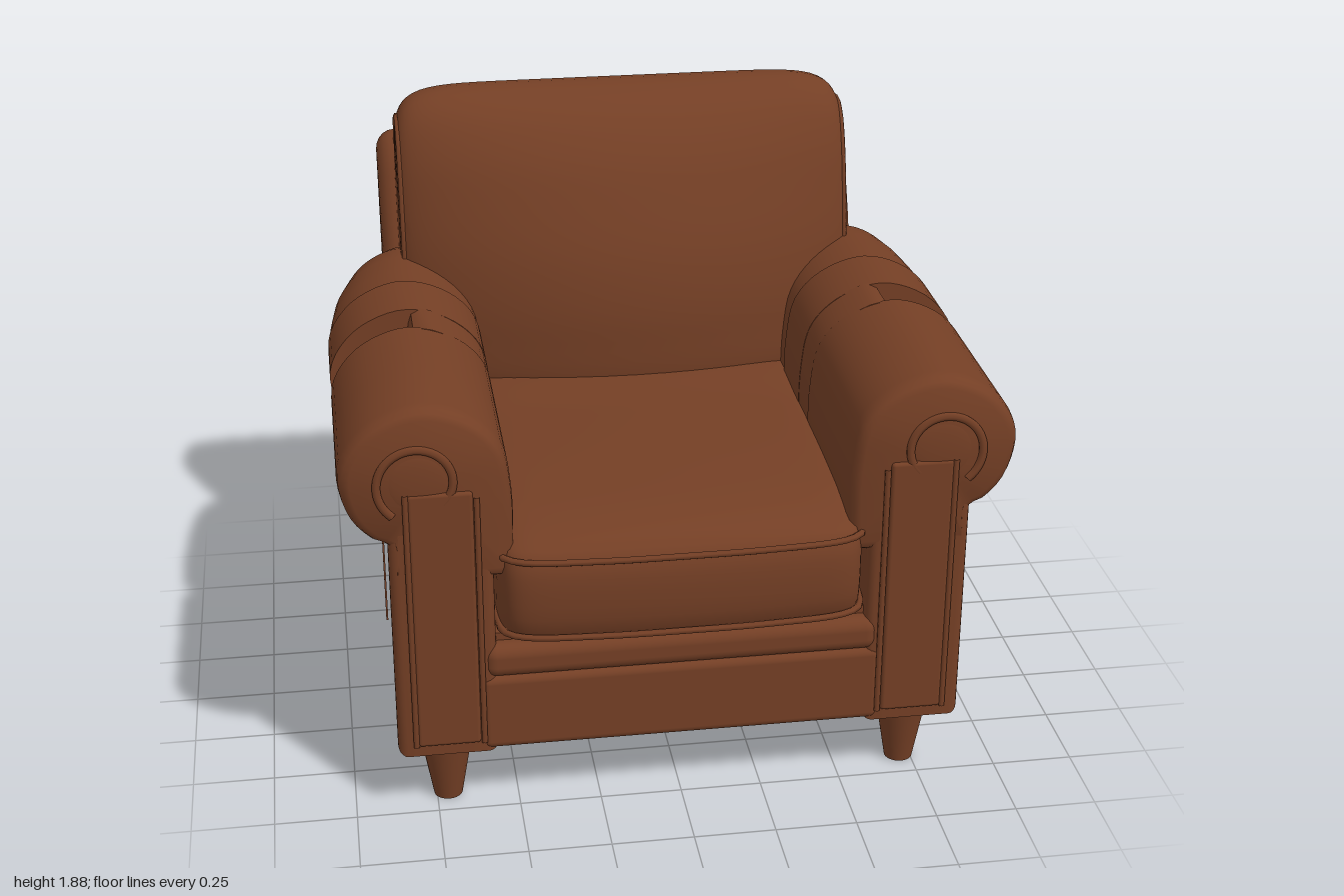
import * as THREE from 'three';
import { toCreasedNormals } from 'three/addons/utils/BufferGeometryUtils.js';
import { RoundedBoxGeometry } from 'three/addons/geometries/RoundedBoxGeometry.js';

const leather = new THREE.MeshStandardMaterial({ color: 0x743f25 });
leather.name = 'brown leather';

function add(parent, name, geometry, x = 0, y = 0, z = 0) {
  const mesh = new THREE.Mesh(geometry, leather);
  mesh.name = name;
  mesh.position.set(x, y, z);
  parent.add(mesh);
  return mesh;
}

// Skin a row of closed rings and close both ends with fans.
function loft(rings, crease = 0.7) {
  const n = rings[0].length, pos = [], index = [];
  rings.forEach(r => r.forEach(p => pos.push(p.x, p.y, p.z)));
  for (let i = 0; i < rings.length - 1; i++) {
    for (let j = 0; j < n; j++) {
      const a = i * n + j, c = i * n + (j + 1) % n;
      index.push(a, a + n, c, c, a + n, c + n);
    }
  }
  [0, rings.length - 1].forEach((i, end) => {
    const m = new THREE.Vector3();
    rings[i].forEach(p => m.addScaledVector(p, 1 / n));
    const k = pos.length / 3;
    pos.push(m.x, m.y, m.z);
    for (let j = 0; j < n; j++) {
      const a = i * n + j, b = i * n + (j + 1) % n;
      if (end) index.push(k, b, a); else index.push(k, a, b);
    }
  });
  const g = new THREE.BufferGeometry();
  g.setAttribute('position', new THREE.Float32BufferAttribute(pos, 3));
  g.setIndex(index);
  return toCreasedNormals(g, crease);
}

function smooth(points, closed, count) {
  const c = new THREE.CatmullRomCurve3(points.map(p => new THREE.Vector3(p[0], p[1], p[2] || 0)), closed, 'centripetal');
  const out = c.getSpacedPoints(count);
  if (closed) out.pop();
  return out;
}

function piping(points, closed = false, r = 0.01) {
  const v = points.map(p => (p.isVector3 ? p : new THREE.Vector3(...p)));
  return new THREE.TubeGeometry(new THREE.CatmullRomCurve3(v, closed, 'centripetal'), 60, r, 6, closed);
}

// Cushion ring at u (-1..1 across the width) from a side profile of (z, y) points.
function cushionRing(profile, u, o) {
  const h = Math.pow(Math.max(0, 1 - Math.pow(Math.abs(u), o.power)), 1 / o.power);
  return profile.map(p => {
    const [z, y] = o.bulge(u, p.x, p.y);
    return new THREE.Vector3(u * o.half, o.cy + (y - o.cy) * h, o.cz + (z - o.cz) * h);
  });
}

function cushion(profile, o) {
  const rings = [];
  for (let i = -22; i <= 22; i++) {
    const k = Math.abs(i) / 22;
    rings.push(cushionRing(profile, Math.sign(i) * (1 - Math.pow(1 - k, 3)), o));
  }
  return loft(rings, 0.9);
}

// Extrude a (z, y) outline along x with rounded edges.
function sideExtrude(points, x0, x1, bevel) {
  const shape = new THREE.Shape(points.map(p => new THREE.Vector2(p[0], p[1])));
  const g = new THREE.ExtrudeGeometry(shape, {
    depth: x1 - x0 - 2 * bevel, bevelEnabled: true, bevelSize: bevel,
    bevelThickness: bevel, bevelOffset: -bevel, bevelSegments: 5, steps: 4
  });
  g.translate(0, 0, bevel - x1);
  g.rotateY(-Math.PI / 2);
  return g;
}

function buildArm() {
  const arm = new THREE.Group();
  // Lower side panel, narrowing towards the back
  const panel = sideExtrude([[0.77, 0.215], [0.77, 0.97], [-0.69, 0.97], [-0.655, 0.235], [-0.63, 0.215]], 0.56, 0.865, 0.03);
  const p = panel.attributes.position;
  for (let i = 0; i < p.count; i++) {
    const t = Math.max(0, (-0.35 - p.getZ(i)) / 0.3);
    p.setX(i, p.getX(i) - 0.05 * t * t * Math.max(0, p.getX(i) - 0.5) / 0.36);
  }
  add(arm, 'armSidePanel', toCreasedNormals(panel, 0.6));

  // Rolled arm top; each ring is [z, scale, outward stretch]
  const roll = smooth([[0.5, 0.8], [0.5, 1.08], [0.53, 1.23], [0.62, 1.32], [0.76, 1.36], [0.9, 1.31],
    [0.98, 1.22], [1, 1.14], [0.97, 1.02], [0.91, 0.95], [0.86, 0.925], [0.855, 0.8]], false, 48);
  const inner = smooth([[0.5, 0.8], [0.5, 1.08], [0.53, 1.23], [0.62, 1.32], [0.73, 1.355], [0.76, 1.25],
    [0.79, 1.1], [0.865, 0.95], [0.86, 0.8]], false, 40);
  const section = (outline, rows) => loft(rows.map(([z, s, k = 1]) => outline.map(q => {
    const x = 0.74 + (q.x - 0.74) * s;
    return new THREE.Vector3(x > 0.7 ? 0.7 + (x - 0.7) * k : x, 1.12 + (q.y - 1.12) * s, z);
  })));
  add(arm, 'armRollFront', section(roll, [[0.16, 1], [0.45, 1], [0.71, 1], [0.74, 0.985], [0.76, 0.945], [0.77, 0.87]]));
  add(arm, 'armRecess', section(inner, [[0.01, 0.995], [0.17, 0.995]]));
  add(arm, 'armRollMiddle', section(roll, [[-0.22, 1], [0.02, 1]]));
  add(arm, 'armRollBack', section(roll, [[-0.59, 0.72, 0.52], [-0.585, 0.86, 0.62], [-0.56, 0.94, 0.74],
    [-0.52, 0.98, 0.85], [-0.44, 0.985, 0.93], [-0.32, 0.985, 0.98], [-0.2, 0.985, 1]]));

  // Front pilaster with piped edges and a scroll
  add(arm, 'armFrontPilaster', new RoundedBoxGeometry(0.19, 0.85, 0.03, 3, 0.012), 0.71, 0.675, 0.765);
  for (const [x, top] of [[0.81, 1.1], [0.605, 1.08]]) {
    add(arm, 'pilasterPiping', piping([[x, 0.25, 0.772], [x, 0.6, 0.772], [x, top, 0.772]]));
  }
  const scroll = [];
  for (let i = 0; i <= 20; i++) {
    const a = -0.9 + i * 0.24, r = 0.125 - i * 0.0015;
    scroll.push([0.77 + r * Math.cos(a), 1.13 + r * Math.sin(a), 0.768]);
  }
  add(arm, 'armScroll', piping(scroll, false, 0.014));
  const boss = add(arm, 'scrollCentre', new THREE.SphereGeometry(0.1, 24, 12), 0.77, 1.13, 0.762);
  boss.scale.z = 0.15;
  // Seam down the outer side
  add(arm, 'sideSeam', new THREE.BoxGeometry(0.006, 0.64, 0.008), 0.864, 0.6, 0.05);
  return arm;
}

// Tapered leg whose foot may sit off-centre from its top
function leg(parent, name, x, zTop, zFoot) {
  const g = new THREE.CylinderGeometry(0.085, 0.044, 0.24, 24, 4);
  const p = g.attributes.position;
  for (let i = 0; i < p.count; i++) {
    const t = 0.5 - p.getY(i) / 0.24;
    p.setZ(i, p.getZ(i) + (zFoot - zTop) * t);
  }
  g.computeVertexNormals();
  add(parent, name, toCreasedNormals(g, 0.7), x, 0.12, zTop);
}

export function createModel() {
  const chair = new THREE.Group();
  chair.name = 'armchair';

  // Base and front rails
  add(chair, 'base', sideExtrude([[0.73, 0.22], [0.73, 0.6], [-0.66, 0.6], [-0.63, 0.22]], -0.7, 0.7, 0.02));
  add(chair, 'frontRailLower', new RoundedBoxGeometry(1.22, 0.25, 0.12, 4, 0.025), 0, 0.345, 0.715);
  add(chair, 'frontRailUpper', new RoundedBoxGeometry(1.2, 0.11, 0.12, 4, 0.04), 0, 0.52, 0.72);

  // Leaning back frame
  add(chair, 'backFrame', toCreasedNormals(sideExtrude([[-0.4, 0.215], [-0.63, 0.215], [-0.66, 0.24], [-0.853, 1.59],
    [-0.85, 1.64], [-0.82, 1.67], [-0.77, 1.67], [-0.73, 1.64], [-0.69, 1.56], [-0.6, 1.36], [-0.52, 1.1], [-0.4, 0.8]], -0.8, 0.8, 0.06), 0.7));

  // Seat cushion
  const seat = smooth([[0.81, 0.6], [0.835, 0.65], [0.845, 0.75], [0.835, 0.86], [0.8, 0.91], [0.7, 0.945], [0.45, 0.97],
    [0, 0.98], [-0.4, 0.975], [-0.48, 0.9], [-0.48, 0.65], [-0.4, 0.585], [0.2, 0.575], [0.72, 0.575]], true, 72);
  add(chair, 'seatCushion', cushion(seat, {
    half: 0.55, power: 14, cz: 0.15, cy: 0.75,
    bulge: (u, z, y) => [z > 0.6 ? z - 0.025 * u * u : z, y > 0.9 ? y - 0.02 * u * u : y]
  }));
  for (const y of [0.875, 0.625]) {
    const half = [[0.55, 0.3], [0.55, 0.68], [0.535, 0.77], [0.48, 0.81], [0.25, 0.835]];
    const path = [...half.map(q => [-q[0], y, q[1]]), [0, y, 0.839], ...half.reverse().map(q => [q[0], y, q[1]])];
    add(chair, 'seatPiping', piping(path, false, 0.011));
  }

  // Back cushion, fullest in the middle
  const back = smooth([[-0.24, 0.9], [-0.2, 1.12], [-0.225, 1.35], [-0.295, 1.55], [-0.37, 1.7], [-0.48, 1.82],
    [-0.63, 1.875], [-0.74, 1.83], [-0.79, 1.72], [-0.74, 1.5], [-0.66, 1.2], [-0.58, 0.9]], true, 72);
  const backOptions = {
    half: 0.745, power: 9, cz: -0.55, cy: 1.4,
    bulge: (u, z, y) => [z - 0.19 * u * u * THREE.MathUtils.clamp((z + 0.6) / 0.4, 0, 1), y]
  };
  add(chair, 'backCushion', cushion(back, backOptions));
  for (const u of [-0.985, 0.985]) {
    add(chair, 'backCushionPiping', piping(cushionRing(back, u, backOptions), true, 0.009));
  }

  // Arms, mirrored
  const left = buildArm();
  left.name = 'leftArm';
  const right = buildArm();
  right.name = 'rightArm';
  right.scale.x = -1;
  chair.add(left, right);

  // Legs
  for (const x of [-0.715, 0.715]) {
    leg(chair, 'frontLeg', x, 0.65, 0.648);
    leg(chair, 'backLeg', x, -0.475, -0.545);
  }
  return chair;
}
